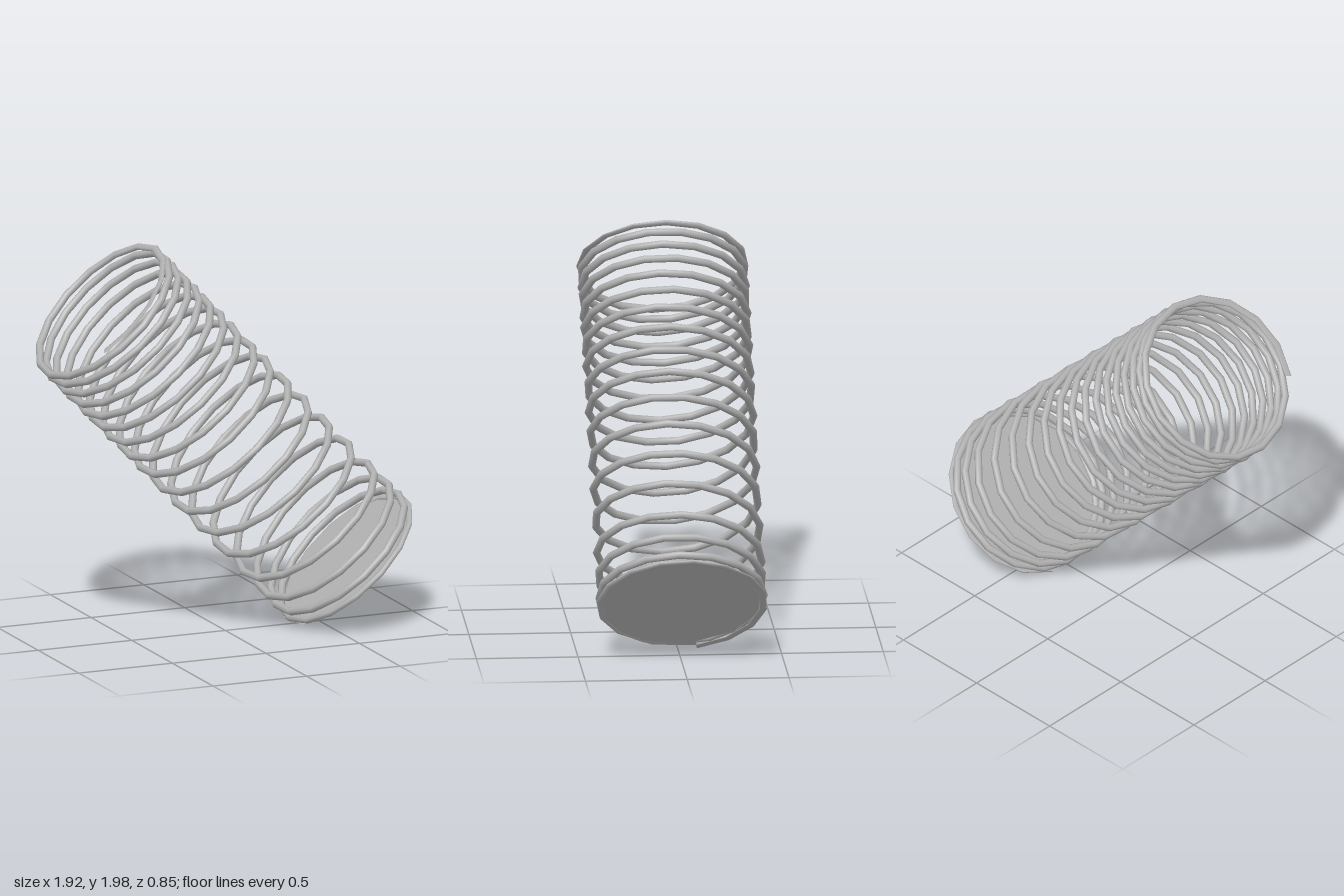
import * as THREE from 'three';

// Axis of the coil, and the direction across it in the upright plane
const AXIS = new THREE.Vector3(0.688, -0.726, 0);
const ACROSS = new THREE.Vector3(0.726, 0.688, 0);
const OFFSET = 0.687;      // distance of the axis from the origin
const RADIUS = 0.404;      // coil radius
const WIRE = 0.019;        // wire radius
const SIDES = 8;
const SEGMENTS = 277;      // between fifteen and sixteen per turn
const START = -116, END = 17 * 360 + 167; // coil angle in degrees

// Position along the axis at every half turn: tight, open, tight
const HALF_TURNS = [-1.7, -1.672, -1.65, -1.613, -1.579, -1.541, -1.501, -1.459, -1.416,
  -1.368, -1.324, -1.275, -1.225, -1.168, -1.112, -1.046, -0.984, -0.923, -0.86, -0.786,
  -0.716, -0.636, -0.565, -0.478, -0.397, -0.307, -0.228, -0.126, -0.051, 0.027, 0.074,
  0.136, 0.176, 0.203, 0.217, 0.24];

function along(deg) {
  const t = deg / 180;
  if (t <= 0) return HALF_TURNS[0] + t * 0.01;
  const i = Math.floor(t);
  return THREE.MathUtils.lerp(HALF_TURNS[i], HALF_TURNS[i + 1], t - i);
}

// Point at a coil angle, a radius and a distance along the axis
function coilPoint(deg, radius, s) {
  const a = THREE.MathUtils.degToRad(deg);
  return new THREE.Vector3(0, 0, -radius * Math.sin(a))
    .addScaledVector(ACROSS, OFFSET + radius * Math.cos(a))
    .addScaledVector(AXIS, s);
}

function makeGeometry(points, index) {
  const geometry = new THREE.BufferGeometry().setFromPoints(points);
  geometry.setIndex(index);
  geometry.computeVertexNormals();
  return geometry;
}

// Wire swept along the coil, ground flat towards both tips
function wireGeometry() {
  const points = [], index = [];
  for (let i = 0; i <= SEGMENTS; i++) {
    const deg = THREE.MathUtils.lerp(START, END, i / SEGMENTS);
    const taper = Math.min((deg - START) / 200, (END - deg) / 360);
    const thickness = WIRE * THREE.MathUtils.clamp(taper, 0.12, 1);
    for (let j = 0; j < SIDES; j++) {
      const a = (j / SIDES) * Math.PI * 2;
      points.push(coilPoint(deg, RADIUS + WIRE * Math.cos(a), along(deg) + thickness * Math.sin(a)));
      if (i < SEGMENTS) {
        const k = (j + 1) % SIDES, p = i * SIDES, q = p + SIDES;
        index.push(p + j, p + k, q + j, p + k, q + k, q + j);
      }
    }
  }
  // Close the tips
  const last = SEGMENTS * SIDES;
  for (let j = 1; j < SIDES - 1; j++) {
    index.push(0, j + 1, j, last, last + j, last + j + 1);
  }
  return makeGeometry(points, index);
}

// Flat disc inside the last turn, fanned out from the lower tip
function discGeometry() {
  const points = [], index = [], count = 12;
  for (let i = 0; i <= count; i++) {
    const t = i / count;
    const radius = THREE.MathUtils.lerp(RADIUS + WIRE, RADIUS - WIRE, t);
    points.push(coilPoint(END - 360 * (1 - t), radius, 0.22));
    if (i < count) index.push(count, i, i + 1);
  }
  return makeGeometry(points, index);
}

export function createModel() {
  const steel = new THREE.MeshStandardMaterial({ color: 0xb0b0b0, side: THREE.DoubleSide });
  steel.name = 'steel grey';

  const model = new THREE.Group();
  model.name = 'coilSpring';
  const parts = { coilWire: wireGeometry(), endDisc: discGeometry() };
  for (const [name, geometry] of Object.entries(parts)) {
    const mesh = new THREE.Mesh(geometry, steel);
    mesh.name = name;
    model.add(mesh);
  }
  return model;
}
